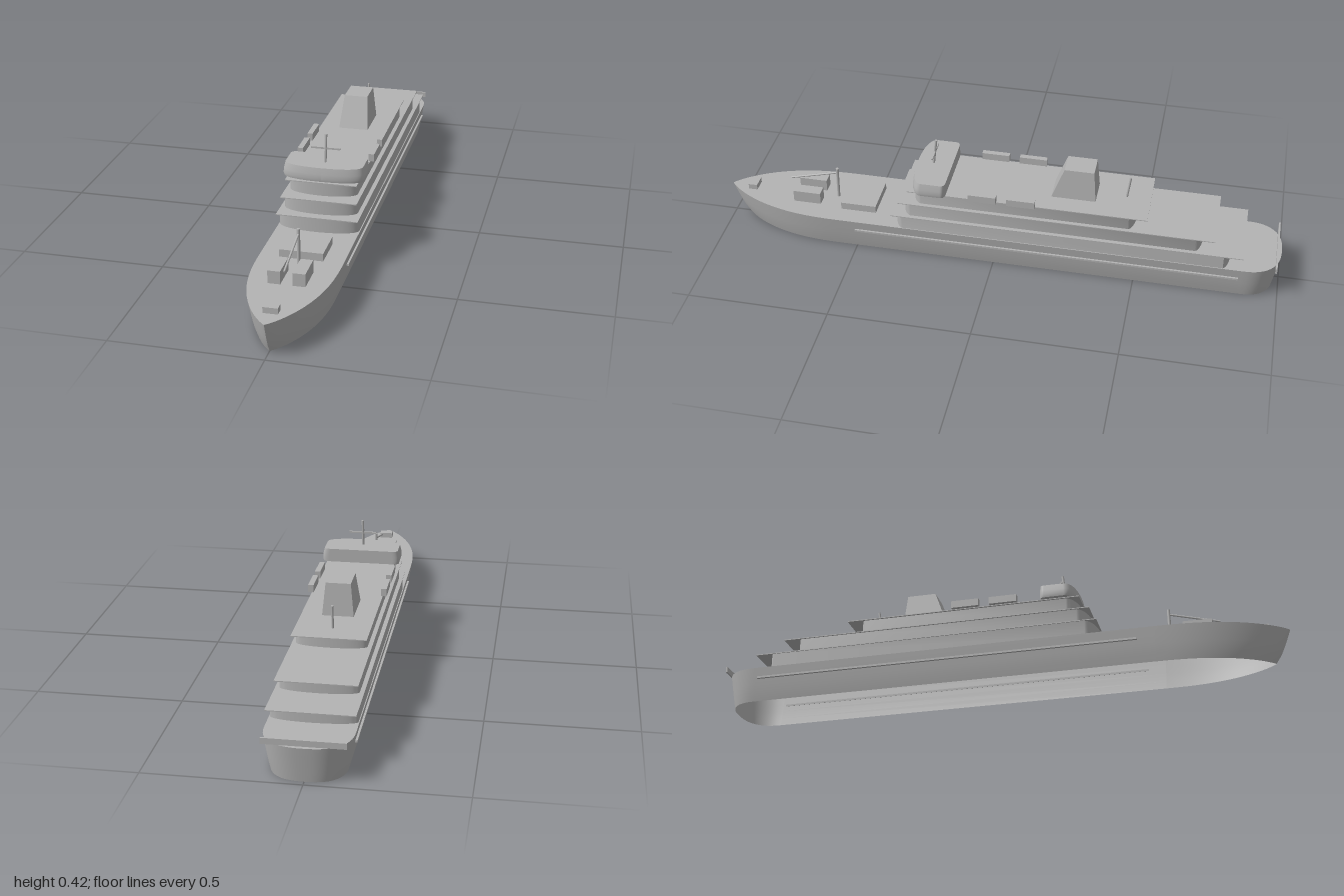
import * as THREE from 'three';
import { toCreasedNormals } from 'three/addons/utils/BufferGeometryUtils.js';

const grey = new THREE.MeshStandardMaterial({ color: 0xb4b4b4, side: THREE.DoubleSide });
grey.name = 'ship grey';

export function createModel() {
  const ship = new THREE.Group();
  ship.name = 'ship';

  const add = (name, geometry) => {
    const mesh = new THREE.Mesh(geometry, grey);
    mesh.name = name;
    ship.add(mesh);
    return mesh;
  };
  // Box given by its limits on each axis
  const box = (name, x0, x1, y0, y1, z0, z1) => {
    const g = new THREE.BoxGeometry(x1 - x0, y1 - y0, z1 - z0);
    return add(name, g.translate((x0 + x1) / 2, (y0 + y1) / 2, (z0 + z1) / 2));
  };
  // Round bar between two points in the centre plane
  const bar = (name, y0, z0, y1, z1, r) => {
    const a = new THREE.Vector3(0, y0, z0), b = new THREE.Vector3(0, y1, z1);
    const m = add(name, new THREE.CylinderGeometry(r, r, a.distanceTo(b), 10));
    m.position.copy(a).lerp(b, 0.5);
    m.quaternion.setFromUnitVectors(new THREE.Vector3(0, 1, 0), b.sub(a).normalize());
  };
  // Skin over rings of [x, y, z], listed from bottom to top
  const loft = (rings) => {
    const n = rings[0].length, index = [];
    for (let r = 0; r < rings.length - 1; r++) {
      for (let i = 0; i < n - 1; i++) {
        const a = r * n + i, b = a + 1;
        index.push(a, b, b + n, a, b + n, a + n);
      }
    }
    const g = new THREE.BufferGeometry();
    g.setAttribute('position', new THREE.Float32BufferAttribute(rings.flat(2), 3));
    g.setIndex(index);
    g.computeVertexNormals();
    return g;
  };
  // Flat face filling a ring of [x, y, z] at one height
  const cap = (ring) => {
    const shape = new THREE.Shape(ring.slice(0, -1).map(([x, , z]) => new THREE.Vector2(x, -z)));
    return new THREE.ShapeGeometry(shape).rotateX(-Math.PI / 2).translate(0, ring[0][1], 0);
  };

  // Hull outline: pointed bow, straight sides, rounded stern
  const hullRing = (y) => {
    const t = y / 0.12;
    const w = 0.119 + 0.021 * Math.pow(t, 0.8);
    const bow = 0.945 + 0.055 * Math.pow(t, 0.75), stern = -0.98 - 0.02 * t;
    const half = [];
    for (let i = 0; i <= 20; i++) {
      const s = 1 - Math.pow(i / 20, 2);
      half.push([w * Math.pow(1 - Math.pow(s, 2.5), 0.85), y, 0.56 + (bow - 0.56) * s]);
    }
    for (let i = 0; i <= 16; i++) {
      const a = (i / 16) * Math.PI / 2;
      half.push([w * Math.pow(Math.max(0, Math.cos(a)), 0.8), y,
        -0.87 + (stern + 0.87) * Math.pow(Math.sin(a), 0.8)]);
    }
    half[half.length - 1][0] = 0;
    return [...half, ...half.slice(0, -1).reverse().map(([x, yy, z]) => [-x, yy, z])];
  };
  const hullRings = [0, 0.03, 0.06, 0.09, 0.12].map(hullRing);
  add('hull', loft(hullRings)); // open underneath
  add('mainDeck', cap(hullRings[4]));

  // Stepped decks: wall with bowed ends under a thin overhanging slab
  const tiers = [
    { y: 0.12, w: 0.137, front: 0.364, back: -0.83, slab: 0.14, slabFront: 0.365, slabBack: -0.87 },
    { y: 0.172, w: 0.126, front: 0.335, back: -0.73, slab: 0.131, slabFront: 0.34, slabBack: -0.77 },
    { y: 0.222, w: 0.117, front: 0.298, back: -0.497, slab: 0.123, slabFront: 0.305, slabBack: -0.535 },
  ];
  tiers.forEach((t, i) => {
    const s = new THREE.Shape();
    const f = t.front - 0.04, b = t.back + 0.025;
    s.moveTo(t.w, -f);
    s.lineTo(t.w, -b);
    s.bezierCurveTo(t.w * 0.9, -t.back + 0.008, -t.w * 0.9, -t.back + 0.008, -t.w, -b);
    s.lineTo(-t.w, -f);
    s.bezierCurveTo(-t.w * 0.9, -t.front - 0.012, t.w * 0.9, -t.front - 0.012, t.w, -f);
    const g = new THREE.ExtrudeGeometry(s, { depth: 0.05, bevelEnabled: false, curveSegments: 24 });
    g.rotateX(-Math.PI / 2).translate(0, t.y, 0);
    add('deckHouse' + (i + 1), toCreasedNormals(g, 0.6));
    box('deckSlab' + (i + 1), -t.slab, t.slab, t.y + 0.049, t.y + 0.052, t.slabBack, t.slabFront);
  });

  // Bridge: curved front, rounded rear corners, narrowing to the roof
  const bridgeShape = new THREE.Shape();
  bridgeShape.moveTo(0, -0.298);
  bridgeShape.bezierCurveTo(0.08, -0.298, 0.14, -0.285, 0.14, -0.255);
  bridgeShape.lineTo(0.14, -0.185);
  bridgeShape.quadraticCurveTo(0.14, -0.168, 0.115, -0.168);
  bridgeShape.lineTo(-0.115, -0.168);
  bridgeShape.quadraticCurveTo(-0.14, -0.168, -0.14, -0.185);
  bridgeShape.lineTo(-0.14, -0.255);
  bridgeShape.bezierCurveTo(-0.14, -0.285, -0.08, -0.298, 0, -0.298);
  const outline = bridgeShape.getPoints(12);
  const bridgeRings = [[0.274, 0.985], [0.284, 1], [0.3, 0.99], [0.322, 0.955]].map(([y, k]) =>
    outline.map((p) => [p.x * k, y, 0.168 + (-p.y - 0.168) * k]));
  add('bridge', loft(bridgeRings));
  add('bridgeFloor', cap(bridgeRings[0]));
  add('bridgeRoof', cap(bridgeRings[3]));

  // Funnel: tapered block with a raked front
  const funnel = new THREE.BoxGeometry(1, 1, 1);
  const p = funnel.attributes.position;
  for (let i = 0; i < p.count; i++) {
    const top = p.getY(i) > 0, front = p.getZ(i) > 0;
    p.setXYZ(i, Math.sign(p.getX(i)) * (top ? 0.042 : 0.053), top ? 0.386 : 0.273,
      front ? (top ? -0.235 : -0.193) : (top ? -0.338 : -0.348));
  }
  funnel.computeVertexNormals();
  add('funnel', funnel);

  // Masts and foredeck crane
  bar('bridgeMast', 0.32, 0.236, 0.418, 0.225, 0.0045);
  box('mastCrossbar', -0.05, 0.05, 0.367, 0.373, 0.227, 0.233);
  bar('aftMast', 0.272, -0.45, 0.355, -0.46, 0.004);
  bar('cranePost', 0.12, 0.597, 0.242, 0.595, 0.0055);
  bar('craneBoom', 0.224, 0.595, 0.178, 0.77, 0.0035);

  // Foredeck fittings
  box('hatch', -0.073, 0.073, 0.12, 0.147, 0.438, 0.566);
  box('bowLocker', -0.024, 0.024, 0.12, 0.14, 0.9, 0.932);

  // Paired parts on both sides
  for (const side of [1, -1]) {
    const pair = (name, x0, x1, ...rest) =>
      box(name, Math.min(side * x0, side * x1), Math.max(side * x0, side * x1), ...rest);
    pair('cargoBox', 0.02, 0.061, 0.12, 0.164, 0.647, 0.747);
    pair('lifeboatFront', 0.117, 0.136, 0.274, 0.3, -0.012, 0.086);
    pair('lifeboatRear', 0.117, 0.136, 0.274, 0.3, -0.148, -0.05);
    pair('rubbingRail', 0.133, 0.142, 0.079, 0.086, -0.86, 0.5);
  }

  // Stern rail
  box('sternRail', -0.13, 0.13, 0.12, 0.14, -0.988, -0.982);

  return ship;
}
